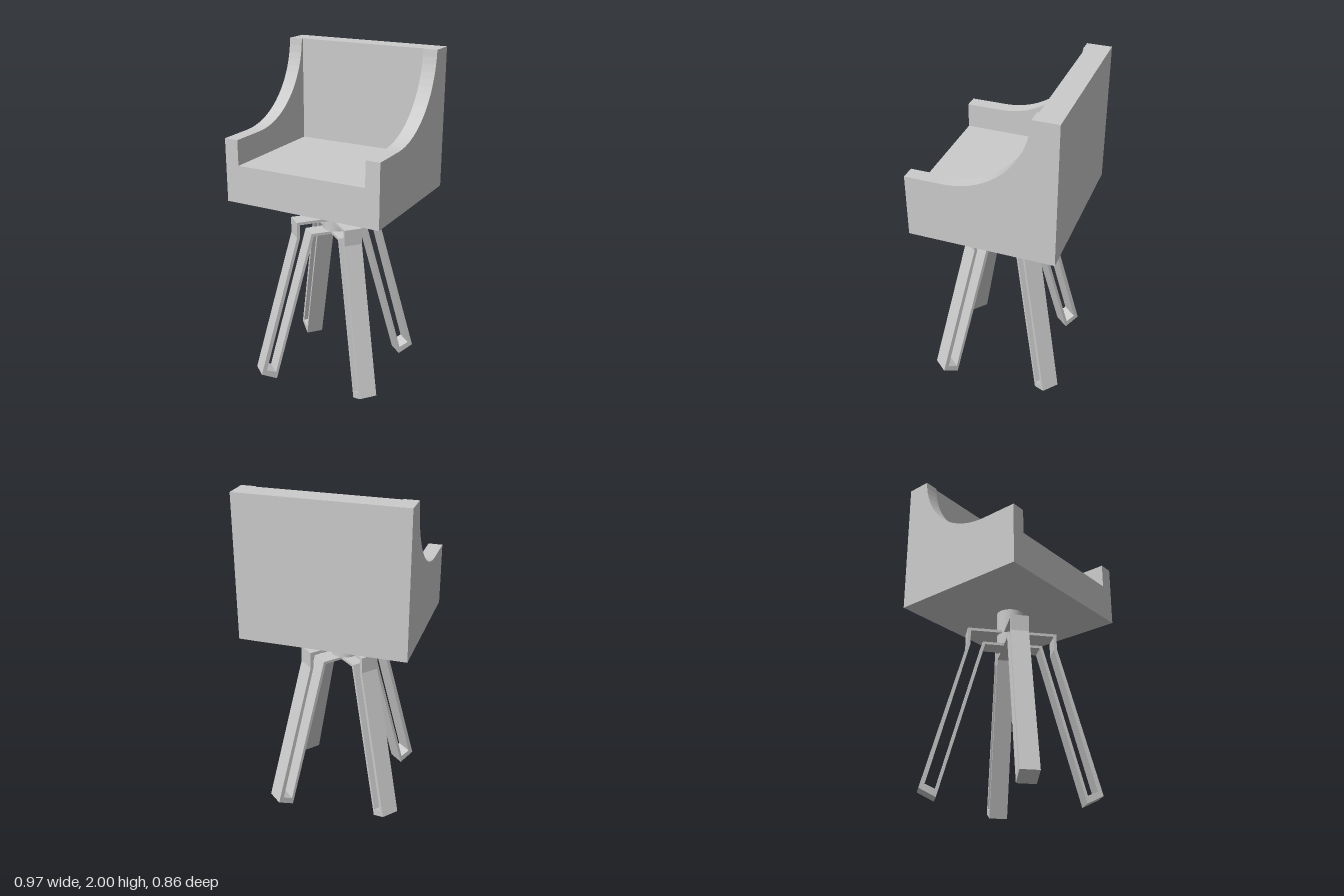
import * as THREE from 'three';

const material = new THREE.MeshStandardMaterial({ color: 0xcccccc, flatShading: true });
const smooth = new THREE.MeshStandardMaterial({ color: 0xcccccc });

function polygon(points, Type = THREE.Shape) {
  return new Type(points.map(([x, y]) => new THREE.Vector2(x, y)));
}

// Extrude a shape to the given width, centred on its own plane.
function slab(name, shape, width) {
  const geometry = new THREE.ExtrudeGeometry(shape, { depth: width, bevelEnabled: false, curveSegments: 9 });
  geometry.translate(0, 0, -width / 2);
  const mesh = new THREE.Mesh(geometry, material);
  mesh.name = name;
  return mesh;
}

// Complete a right-hand half outline with its mirror image.
function mirrored(half) {
  return [...half, ...half.map(([x, y]) => [-x, y]).reverse()];
}

export function createModel() {
  const model = new THREE.Group();
  model.name = 'swivelArmchair';

  // Seat body: profiles are drawn with x = depth, then turned to face +z.
  const body = new THREE.Group();
  body.name = 'seatBody';
  body.rotation.y = -Math.PI / 2;
  model.add(body);

  // Seat and backrest between the arms
  body.add(slab('seatAndBack', polygon([
    [-0.435, 1.155], [0.42, 1.155], [0.42, 1.38], [-0.3, 1.38], [-0.3, 2], [-0.435, 2],
  ]), 0.804));

  // Arms sweeping up into the backrest in a concave curve
  const arm = new THREE.Shape();
  arm.moveTo(-0.435, 1.155);
  arm.lineTo(0.42, 1.155);
  arm.lineTo(0.42, 1.53);
  arm.lineTo(0.2, 1.53);
  arm.absarc(0.2, 2.02, 0.49, -Math.PI / 2, -Math.PI + 0.041, true);
  arm.lineTo(-0.29, 2);
  arm.lineTo(-0.435, 2);
  for (const side of [-1, 1]) {
    const mesh = slab(side > 0 ? 'leftArm' : 'rightArm', arm, 0.085);
    // The turned body's local -z is the model's +x.
    mesh.position.z = -side * 0.4445;
    body.add(mesh);
  }

  // Swivel column
  const column = new THREE.Mesh(new THREE.CylinderGeometry(0.08, 0.08, 0.22, 32), smooth);
  column.name = 'swivelColumn';
  column.position.set(-0.004, 1.045, -0.004);
  model.add(column);

  // Two crossed hollow leg frames, each forming a pair of opposite legs
  const frame = polygon(mirrored([
    [0.165, 0.922], [0.42, 0], [0.516, 0.047], [0.27, 0.925], [0.27, 1.022],
  ]));
  frame.holes.push(polygon(mirrored([
    [0.179, 0.938], [0.425, 0.045], [0.483, 0.07], [0.252, 0.92], [0.252, 1.005],
  ]), THREE.Path));
  for (let i = 0; i < 2; i++) {
    const legs = slab(i ? 'legFrameB' : 'legFrameA', frame, 0.108);
    legs.rotation.y = THREE.MathUtils.degToRad(-40 + i * 90);
    model.add(legs);
  }
  return model;
}
